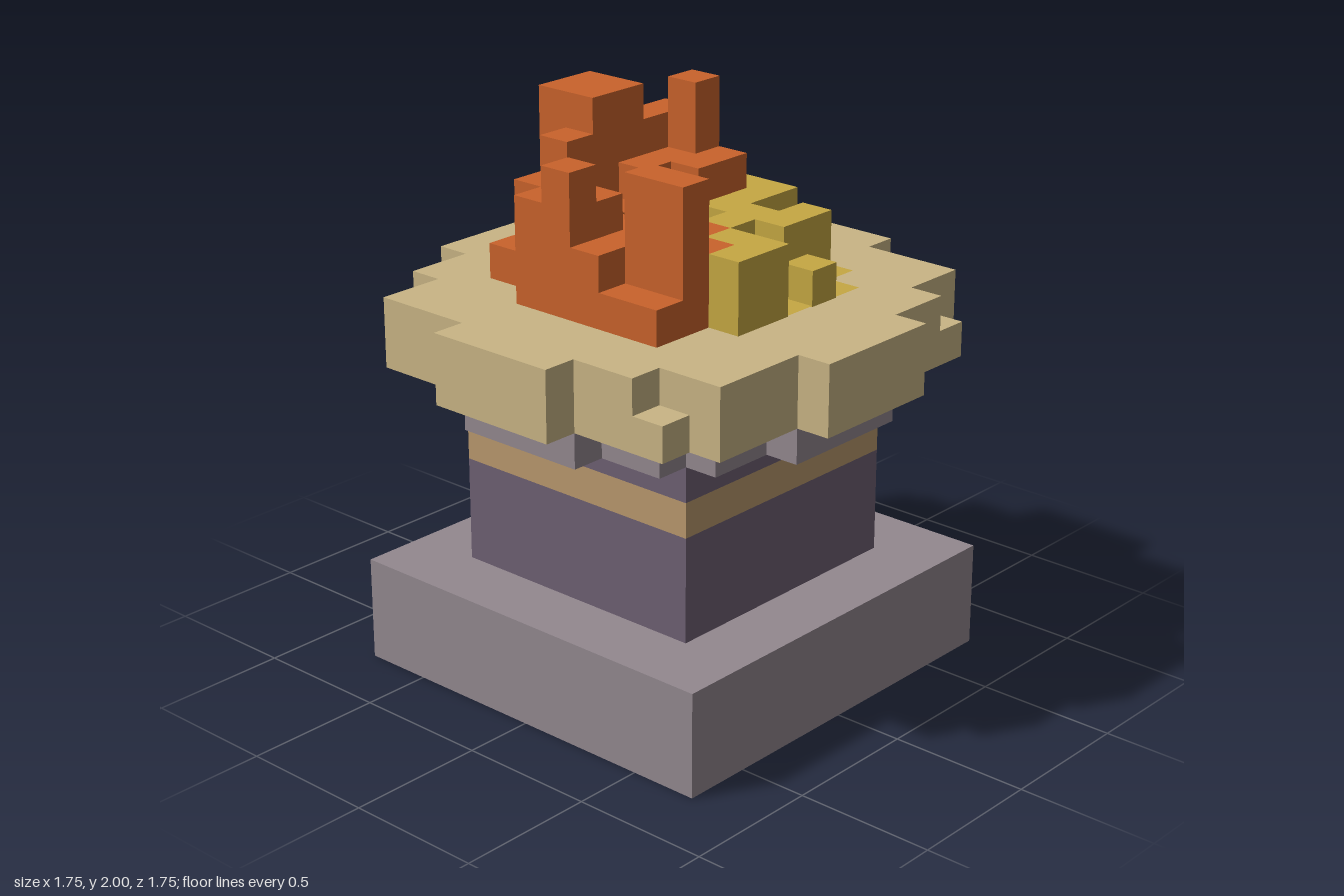
import * as THREE from 'three';
import { mergeGeometries } from 'three/addons/utils/BufferGeometryUtils.js';

const U = 0.125; // one block

const mat = (name, color) => {
  const m = new THREE.MeshStandardMaterial({ color });
  m.name = name;
  return m;
};

// Height of each flame column, rows run back to front (z -4..3), entries left to right (x -4..3).
const HEIGHTS = [
  [0, 12, 12, 16, 16, 12, 0, 0],
  [0, 14, 15, 16, 16, 15, 15, 11],
  [14, 13, 13, 13, 14, 14, 16, 13],
  [15, 14, 13, 12, 12, 14, 14, 13],
  [13, 13, 13, 12, 12, 13, 13, 13],
  [12, 15, 14, 13, 13, 13, 12, 11],
  [12, 15, 13, 13, 12, 13, 13, 11],
  [0, 0, 13, 13, 11, 12, 11, 0],
];
// First yellow column in each row (8 = none)
const YELLOW_FROM = [8, 8, 8, 7, 4, 4, 3, 2];
const FLOOR = 11;

const heightAt = (i, k) => HEIGHTS[k]?.[i] ?? 0;
function isYellow(i, y, k) {
  if (k === 3 && y < 12) return false; // yellow block resting on an orange one
  return i >= YELLOW_FROM[k];
}

// Outward directions with the turn that points a +z plane that way
const SIDES = [
  [0, 1, 0], [1, 0, Math.PI / 2], [0, -1, Math.PI], [-1, 0, -Math.PI / 2],
];

// Only the exposed faces of the stacked blocks of one colour
function flameGeometry(yellow) {
  const faces = [];
  for (let k = 0; k < 8; k++) for (let i = 0; i < 8; i++) {
    const h = heightAt(i, k);
    if (!h) continue;
    const x = i - 3.5, z = k - 3.5;
    // top; columns level with the bowl become a thin plate
    if (isYellow(i, h - 1 + (h === FLOOR ? 1 : 0), k) === yellow) {
      const lift = h === FLOOR ? 0.03 : 0;
      faces.push(new THREE.PlaneGeometry(1, 1).rotateX(-Math.PI / 2).translate(x, h + lift, z));
    }
    for (let y = FLOOR; y < h; y++) {
      if (isYellow(i, y, k) !== yellow) continue;
      for (const [dx, dz, turn] of SIDES) {
        if (heightAt(i + dx, k + dz) > y) continue;
        faces.push(new THREE.PlaneGeometry(1, 1).translate(0, 0, 0.5).rotateY(turn)
          .translate(x, y + 0.5, z));
      }
    }
  }
  return mergeGeometries(faces).scale(U, U, U);
}

// Stepped slab: a quarter outline (x, z) repeated by quarter turns, from y0 to y1
function steppedSlab(quarter, y0, y1) {
  const pts = [];
  for (let q = 0; q < 4; q++) {
    for (let [x, z] of quarter) {
      for (let n = 0; n < q; n++) [x, z] = [-z, x];
      pts.push(new THREE.Vector2(x, z));
    }
  }
  return new THREE.ExtrudeGeometry(new THREE.Shape(pts), { depth: y1 - y0, bevelEnabled: false })
    .rotateX(Math.PI / 2).translate(0, y1, 0).scale(U, U, U);
}

function squareBlock(half, y0, y1) {
  return new THREE.BoxGeometry(2 * half, y1 - y0, 2 * half)
    .translate(0, (y0 + y1) / 2, 0).scale(U, U, U);
}

export function createModel() {
  const group = new THREE.Group();
  group.name = 'brazier';
  const stone = mat('grey stone', 0x93888f);
  const darkStone = mat('purple stone', 0x6e6073);
  const trim = mat('tan trim', 0xba996d);
  const sand = mat('pale sandstone', 0xc9b585);
  const orange = mat('orange flame', 0xca632b);
  const gold = mat('yellow flame', 0xc6a843);

  const add = (name, geometry, material) => {
    const mesh = new THREE.Mesh(geometry, material);
    mesh.name = name;
    group.add(mesh);
  };

  // Pedestal
  add('base', squareBlock(6, 0, 3), stone);
  add('lowerColumn', squareBlock(4, 3, 6), darkStone);
  add('columnBand', squareBlock(4, 6, 7), trim);
  add('upperColumn', squareBlock(4, 7, 8), darkStone);
  add('collar', steppedSlab([[6, -2], [6, 2], [5, 2], [5, 4], [4, 4], [4, 5], [2, 5]], 8, 9), stone);

  // Bowl, with one corner block per quarter left out of the upper layer
  add('bowlLower', steppedSlab([[7, -2], [7, 2], [6, 2], [6, 5], [5, 5], [5, 6], [2, 6]], 9, 10), sand);
  add('bowlUpper', steppedSlab([[7, -2], [7, 2], [6, 2], [6, 5], [4, 5], [4, 6], [2, 6]], 10, 11), sand);

  // Fire
  add('orangeFlames', flameGeometry(false), orange);
  add('yellowFlames', flameGeometry(true), gold);
  return group;
}
